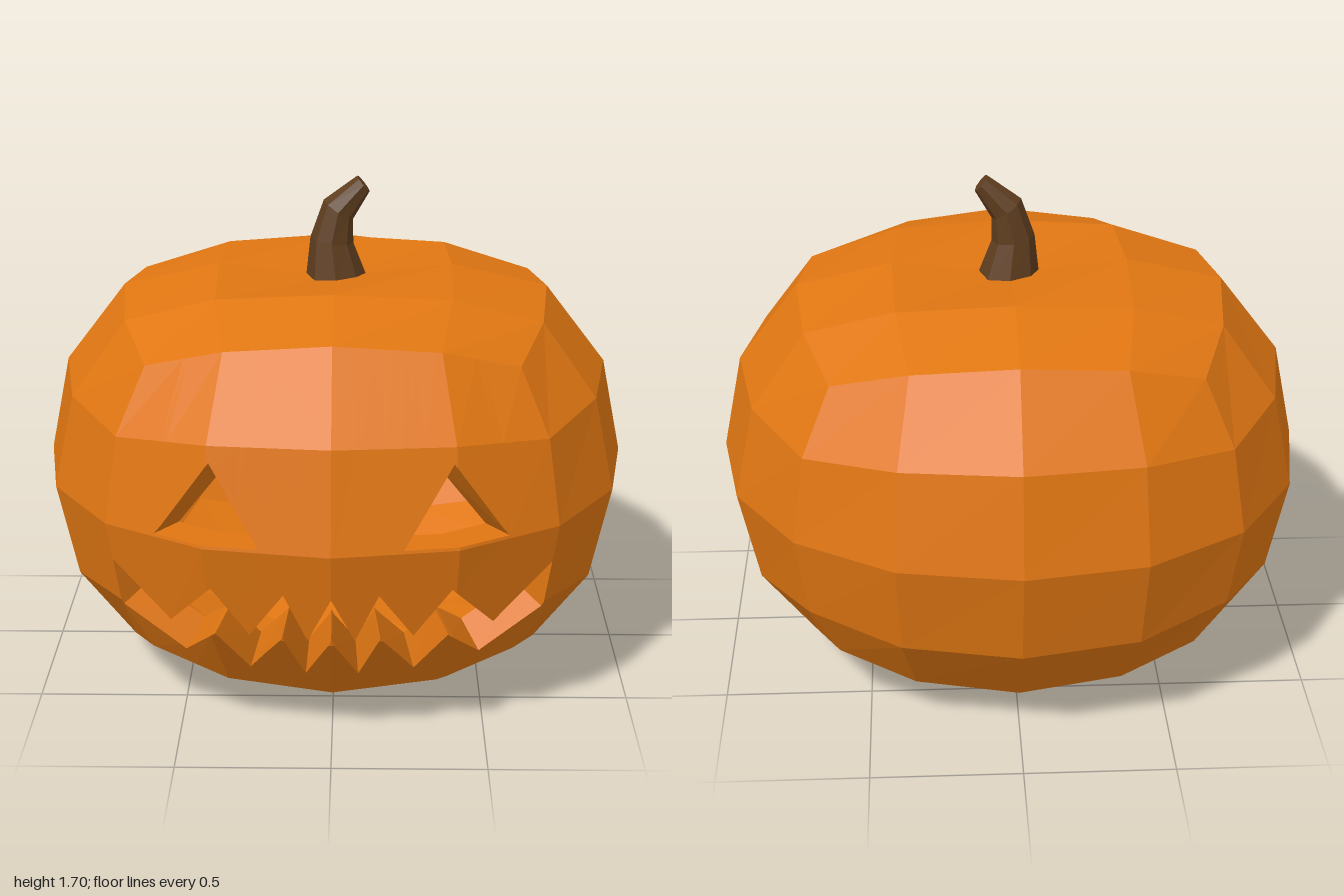
import * as THREE from 'three';

const V = (x, y, z) => new THREE.Vector3(x, y, z);
const CENTRE = V(0, 0.725, 0), SQUASH = 0.82, WALL = 0.125;

// Heights of the dented crown and base, by grid steps from the middle.
const CROWN = [1.35, 1.395, 1.375], BASE = [0.03, 0.0, 0.02];

// The shell is a rounded cube: six panels (axes u, v, outward n), each 4 x 4 facets.
const PANELS = [
  [V(1, 0, 0), V(0, 1, 0), V(0, 0, 1)],
  [V(-1, 0, 0), V(0, 1, 0), V(0, 0, -1)],
  [V(0, 0, -1), V(0, 1, 0), V(1, 0, 0)],
  [V(0, 0, 1), V(0, 1, 0), V(-1, 0, 0)],
  [V(1, 0, 0), V(0, 0, -1), V(0, 1, 0)],
  [V(1, 0, 0), V(0, 0, 1), V(0, -1, 0)],
];

// Corner (i, j) of a panel's facet grid.
function gridPoint([U, W, N], i, j) {
  const u = i / 2 - 1, v = j / 2 - 1;
  const bend = (a, b) => a - 0.19 * a * (1 - a * a) * (1 - b * b);
  const d = N.clone().addScaledVector(U, bend(u, v)).addScaledVector(W, bend(v, u)).normalize();
  d.multiplyScalar(1 + 0.055 * (1 - d.x ** 4 - d.y ** 4 - d.z ** 4));
  d.y = d.y * SQUASH + CENTRE.y;
  if (N.y && Math.max(Math.abs(u), Math.abs(v)) < 1) {
    d.y = (N.y > 0 ? CROWN : BASE)[Math.abs(i - 2) + Math.abs(j - 2)];
  }
  return d;
}

// Any point of a panel, s and t from 0 to 4, flat between grid corners.
function surface(panel, s, t) {
  const i = Math.min(3, Math.floor(s)), j = Math.min(3, Math.floor(t));
  const a = gridPoint(panel, i, j).lerp(gridPoint(panel, i + 1, j), s - i);
  const b = gridPoint(panel, i, j + 1).lerp(gridPoint(panel, i + 1, j + 1), s - i);
  return a.lerp(b, t - j);
}

// The matching point on the inside of the wall.
function inside(p) {
  const n = p.clone().sub(CENTRE);
  n.y /= SQUASH * SQUASH;
  return p.clone().addScaledVector(n.normalize(), -WALL);
}

// Finds the front panel's (s, t) for a point seen from the front.
function toGrid([x, y]) {
  let s = 2 + 2 * x, t = 2 + 2 * (y - CENTRE.y);
  const keep = (a) => Math.min(4, Math.max(0, a));
  for (let k = 0; k < 40; k++) {
    const p = surface(PANELS[0], s, t);
    s = keep(s + 2 * (x - p.x));
    t = keep(t + 2 * (y - p.y));
  }
  return [s, t];
}

// Outline of a cut-out as edges, split wherever they cross a facet line.
function cutEdges(outline) {
  const pts = outline.map(toGrid), edges = [];
  pts.forEach((a, k) => {
    const b = pts[(k + 1) % pts.length], stops = [0, 1];
    for (const axis of [0, 1]) {
      for (let line = 1; line < 4; line++) {
        const f = (line - a[axis]) / (b[axis] - a[axis]);
        if (f > 1e-4 && f < 1 - 1e-4) stops.push(f);
      }
    }
    stops.sort((m, n) => m - n);
    const at = (f) => [a[0] + (b[0] - a[0]) * f, a[1] + (b[1] - a[1]) * f];
    for (let m = 1; m < stops.length; m++) edges.push([at(stops[m - 1]), at(stops[m])]);
  });
  return edges;
}

function meshOf(name, tris, color) {
  const geo = new THREE.BufferGeometry().setFromPoints(tris);
  geo.computeVertexNormals();
  const mesh = new THREE.Mesh(geo, new THREE.MeshStandardMaterial({ color, flatShading: true }));
  mesh.name = name;
  return mesh;
}

// Fills a panel column by column, leaving the cut-outs open.
function fillPanel(panel, edges, outer, inner) {
  const stops = [0, 1, 2, 3, 4, ...edges.flat().map((p) => p[0])].sort((a, b) => a - b);
  for (let k = 1; k < stops.length; k++) {
    const s0 = stops[k - 1], s1 = stops[k], mid = (s0 + s1) / 2;
    if (s1 - s0 < 1e-5) continue;
    const bounds = [0, 1, 2, 3, 4].map((t) => ({ at: () => t, cut: false }));
    for (const [a, b] of edges) {
      if ((a[0] - mid) * (b[0] - mid) >= 0) continue;
      bounds.push({ at: (s) => a[1] + (b[1] - a[1]) * (s - a[0]) / (b[0] - a[0]), cut: true });
    }
    bounds.sort((m, n) => m.at(mid) - n.at(mid));
    let open = false;
    for (let m = 0; m < bounds.length - 1; m++) {
      const lo = bounds[m], hi = bounds[m + 1];
      if (lo.cut) open = !open;
      if (open) continue;
      // Nudged to the column's own side of each facet line by the shared bilinear rule.
      const [a, b, c, d] = [[s0, lo], [s1, lo], [s1, hi], [s0, hi]]
        .map(([s, line]) => surface(panel, s, Math.min(4, Math.max(0, line.at(s)))));
      outer.push(a, b, c, a, c, d);
      const [e, f, g, h] = [a, b, c, d].map(inside);
      inner.push(e, g, f, e, h, g);
    }
  }
}

export function createModel() {
  const model = new THREE.Group();
  model.name = 'carvedPumpkin';
  const orange = 0xe07612, brown = 0x5e3d1e;

  // Carved outlines, counter-clockwise
  const leftEye = [[0.225, 0.735], [0.56, 0.735], [0.38, 0.99]];
  const rightEye = leftEye.map(([x, y]) => [-x, y]).reverse();
  const lowerTeeth = [[0.085, 0.23], [0.155, 0.415], [0.265, 0.24], [0.37, 0.41], [0.48, 0.27], [0.69, 0.425]];
  const upperTeeth = [[0.72, 0.595], [0.518, 0.42], [0.38, 0.58], [0.26, 0.415], [0.15, 0.575], [0.075, 0.41]];
  const mirror = (line) => line.map(([x, y]) => [-x, y]).reverse();
  const mouth = [
    ...mirror(lowerTeeth), [0, 0.42], ...lowerTeeth,
    ...upperTeeth, [0, 0.57], ...mirror(upperTeeth),
  ];
  const cuts = { leftEyeRim: leftEye, rightEyeRim: rightEye, mouthRim: mouth };

  // Cut walls through the thickness of the shell
  const allEdges = [];
  for (const [name, outline] of Object.entries(cuts)) {
    const edges = cutEdges(outline), tris = [];
    for (const [p, q] of edges) {
      const a = surface(PANELS[0], ...p), b = surface(PANELS[0], ...q);
      const c = inside(b), d = inside(a);
      tris.push(a, b, c, a, c, d);
    }
    allEdges.push(...edges);
    model.add(meshOf(name, tris, orange));
  }

  // Outer skin and hollow interior
  const outer = [], inner = [];
  PANELS.forEach((panel, k) => fillPanel(panel, k === 0 ? allEdges : [], outer, inner));
  model.add(meshOf('skin', outer, orange), meshOf('hollowInside', inner, orange));

  // Bent, tapering stem: rings of [x, y, radius, tilt]
  const rings = [[0.005, 1.34, 0.107, 0], [-0.012, 1.48, 0.074, -0.14], [0.01, 1.585, 0.06, -0.6], [0.095, 1.675, 0.034, -0.9]];
  const stemGeo = new THREE.CylinderGeometry(1, 1, 3, 8, 3);
  const pos = stemGeo.attributes.position;
  for (let i = 0; i < pos.count; i++) {
    const [x, y, r, tilt] = rings[Math.round(pos.getY(i) + 1.5)];
    const across = pos.getX(i) * r;
    pos.setXYZ(i, x + across * Math.cos(tilt), y + across * Math.sin(tilt), pos.getZ(i) * r);
  }
  stemGeo.computeVertexNormals();
  const stem = new THREE.Mesh(stemGeo, new THREE.MeshStandardMaterial({ color: brown, flatShading: true }));
  stem.name = 'stem';
  model.add(stem);
  return model;
}
